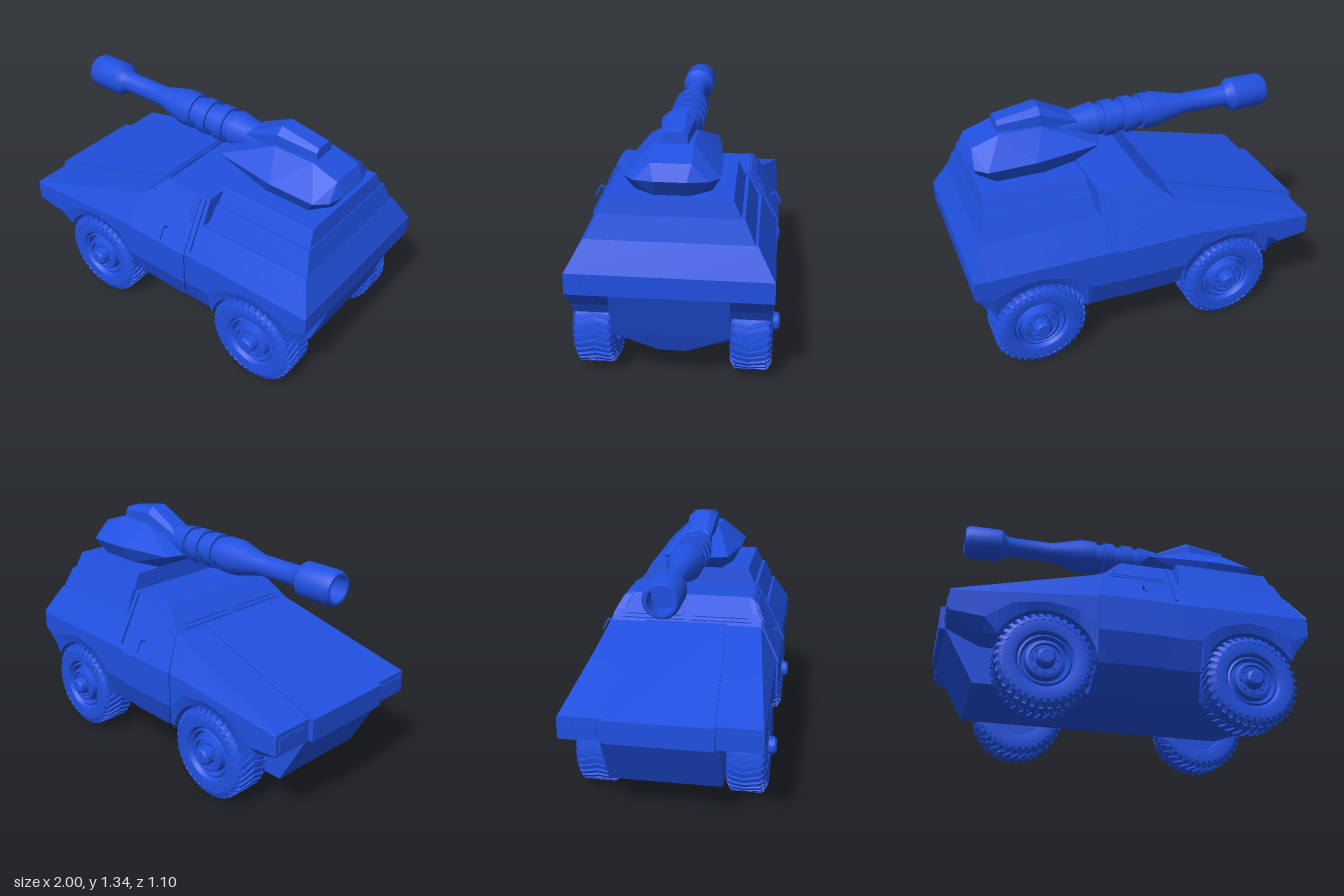
import * as THREE from 'three';
import { mergeGeometries, toCreasedNormals } from 'three/addons/utils/BufferGeometryUtils.js';
import { ConvexGeometry } from 'three/addons/geometries/ConvexGeometry.js';

const flat = new THREE.MeshStandardMaterial({ color: 0x2050e0, flatShading: true });
const smooth = new THREE.MeshStandardMaterial({ color: 0x2050e0 });

// Linear lookup in a list of [x, value] pairs
function lookup(table, x) {
  if (x <= table[0][0]) return table[0][1];
  for (let i = 1; i < table.length; i++) {
    const [x0, v0] = table[i - 1], [x1, v1] = table[i];
    if (x <= x1) return v0 + (v1 - v0) * (x - x0) / (x1 - x0);
  }
  return table[table.length - 1][1];
}

const AXLES = [-0.47, 0.655], AXLE_Y = 0.26;
const TOP = [[-0.97, 0.59], [-0.17, 0.83], [-0.02, 0.955], [0.265, 0.955], [0.27, 0.82], [0.925, 0.82], [1, 0.665]];
const TOP_WIDTH = [[-0.97, 0.512], [-0.17, 0.425], [-0.02, 0.36], [0.265, 0.36], [0.27, 0.43], [0.925, 0.425], [1, 0.515]];
const BELT = [[-0.97, 0.58], [-0.17, 0.65], [1, 0.655]];
const LIP = [[-0.97, 0.47], [-0.79, 0.45], [-0.65, 0.55], [-0.47, 0.578], [-0.3, 0.55], [-0.2, 0.45],
  [0.36, 0.45], [0.48, 0.55], [0.655, 0.59], [0.8, 0.565], [0.92, 0.52], [1, 0.555]];
const SIDE = [[0.29, 0.46], [0.45, 0.52], [0.65, 0.52], [0.955, 0.36]]; // half width by height

// Hull shell: cross-sections along x, with the lower edge following the wheel arches
function bodyGeometry() {
  const low = [[-0.97, 0.465, 0.512], [-0.79, 0.38, 0.45]];
  const arch = (cx, from, to) => {
    for (let i = 0; i <= 14; i++) {
      const a = THREE.MathUtils.degToRad(from + (to - from) * i / 14);
      low.push([cx + 0.275 * Math.cos(a), AXLE_Y + 0.275 * Math.sin(a), 0.5]);
    }
  };
  arch(AXLES[0], 155, 10);
  low.push([-0.19, 0.29, 0.46], [0.37, 0.29, 0.46]);
  arch(AXLES[1], 170, 30);
  low.push([0.93, 0.46, 0.5], [1, 0.55, 0.515]);
  const lowY = low.map(p => [p[0], p[1]]), lowW = low.map(p => [p[0], p[2]]);
  const xs = [...new Set([...low, ...TOP, ...LIP].map(p => p[0]))].sort((a, b) => a - b);
  const rings = xs.map(x => {
    const top = lookup(TOP, x), bottom = lookup(lowY, x);
    const half = [[top, lookup(TOP_WIDTH, x)], [lookup(BELT, x), 0.517],
      [lookup(LIP, x), 0.517], [bottom, lookup(lowW, x)]];
    const loop = [[top, 0], ...half, [bottom, 0], ...half.map(([y, z]) => [y, -z]).reverse()];
    return loop.map(([y, z]) => [x, y, z]);
  });
  const v = [], n = rings[0].length;
  for (let i = 0; i + 1 < rings.length; i++) for (let j = 0; j < n; j++) {
    const k = (j + 1) % n, a = rings[i], b = rings[i + 1];
    v.push(...a[j], ...a[k], ...b[k], ...a[j], ...b[k], ...b[j]);
  }
  const first = rings[0], last = rings[rings.length - 1];
  for (let j = 0; j < n; j++) {
    const k = (j + 1) % n;
    v.push(-0.97, 0.52, 0, ...first[k], ...first[j], 1, 0.6, 0, ...last[j], ...last[k]);
  }
  const g = new THREE.BufferGeometry();
  g.setAttribute('position', new THREE.Float32BufferAttribute(v, 3));
  g.computeVertexNormals();
  return g;
}

// Convex solid; with mirror, each point is repeated at -z
function solid(points, mirror = true) {
  const all = [];
  for (const [x, y, z] of points) {
    all.push(new THREE.Vector3(x, y, z));
    if (mirror && z !== 0) all.push(new THREE.Vector3(x, y, -z));
  }
  return new ConvexGeometry(all);
}

// Panel lying on the body side: rows of [y, x0, x1], standing out by lift
function sidePanel(rows, lift, s) {
  const pts = [];
  for (const [y, x0, x1] of rows) for (const x of [x0, x1]) for (const d of [lift, -0.03])
    pts.push([x, y, s * (lookup(SIDE, y) + d)]);
  return solid(pts, false);
}

// Rectangular tier, tapering from bottom to top: [x0, x1, half width, y]
function tier(...levels) {
  return solid(levels.flatMap(([x0, x1, w, y]) => [[x0, y, w], [x1, y, w]]));
}

function lathe(profile, sides) {
  return toCreasedNormals(new THREE.LatheGeometry(profile.map(p => new THREE.Vector2(...p)), sides), 0.6);
}

function wheelParts() {
  const tyre = lathe([[0, -0.04], [0.13, -0.04], [0.14, -0.1], [0.2, -0.108], [0.232, -0.1], [0.246, -0.075],
    [0.246, 0.075], [0.232, 0.1], [0.2, 0.108], [0.155, 0.1], [0.14, 0.08]], 48).rotateX(Math.PI / 2);
  const hub = lathe([[0.142, 0.08], [0.13, 0.088], [0.118, 0.06], [0.108, 0.06], [0.102, 0.1], [0.085, 0.105],
    [0.08, 0.09], [0.052, 0.09], [0.047, 0.135], [0.034, 0.146], [0, 0.146]], 32).rotateX(Math.PI / 2);
  const lugs = [], bolts = [], count = 36;
  for (let i = 0; i < count; i++) for (const s of [-1, 1]) {
    const a = (i + (s > 0 ? 0 : 0.15)) / count * Math.PI * 2;
    // Chevron bar on the tread and a short block on the shoulder
    lugs.push(new THREE.BoxGeometry(0.02, 0.024, 0.088).rotateY(s * 0.28).translate(0, 0.247, s * 0.04).rotateZ(a));
    lugs.push(new THREE.BoxGeometry(0.02, 0.045, 0.02).rotateX(-s * 0.5).translate(s * 0.002 + 0.014, 0.23, s * 0.09).rotateZ(a));
  }
  for (let i = 0; i < 8; i++)
    bolts.push(new THREE.CylinderGeometry(0.009, 0.009, 0.02, 6).rotateX(Math.PI / 2)
      .translate(0.066, 0, 0.095).rotateZ(i * Math.PI / 4));
  return { tyre: [tyre, smooth], treadLugs: [mergeGeometries(lugs), flat], hub: [hub, smooth], wheelBolts: [mergeGeometries(bolts), flat] };
}

export function createModel() {
  const root = new THREE.Group();
  root.name = 'armouredCar';
  const add = (name, geometry, material = flat, parent = root) => {
    const m = new THREE.Mesh(geometry, material);
    m.name = name;
    parent.add(m);
    return m;
  };

  // Body and underside
  add('body', bodyGeometry());
  add('lowerHull', solid([[-0.97, 0.465, 0.3], [-0.81, 0.175, 0.3], [-0.7, 0.56, 0.3], [0.8, 0.58, 0.3], [1, 0.55, 0.3],
    [0.91, 0.29, 0.3], [0.74, 0.175, 0.3], [0.86, 0.175, 0.07]]));
  add('sill', solid([[-0.19, 0.295, 0.46], [0.37, 0.295, 0.46], [-0.2, 0.175, 0.3], [0.42, 0.175, 0.3]]));

  // Raised bonnet panel running into the nose
  add('bonnetPanel', solid([[-1, 0.47, 0.28], [-1, 0.595, 0.28], [-0.17, 0.84, 0.23], [-0.17, 0.8, 0.23], [-0.9, 0.47, 0.28]]));

  // Rear compartment in tiers
  add('rearCompartment', tier([0.29, 0.925, 0.415, 0.815], [0.305, 0.89, 0.36, 0.94]));
  add('turretDeck', tier([0.305, 0.885, 0.345, 0.935], [0.315, 0.868, 0.302, 1.03]));

  for (const s of [-1, 1]) {
    const side = s > 0 ? 'left' : 'right';
    // Doors, windows, roof-pillar rails and handles
    add(side + 'Door', sidePanel([[0.29, -0.12, 0.17], [0.45, -0.2, 0.21], [0.65, -0.195, 0.21], [0.84, -0.15, 0.21], [0.95, -0.04, 0.21]], 0.008, s));
    add(side + 'WindowFrame', sidePanel([[0.82, -0.125, 0.195], [0.85, -0.125, 0.195], [0.94, -0.035, 0.195]], 0.013, s));
    add(side + 'Window', sidePanel([[0.835, -0.105, 0.18], [0.85, -0.105, 0.18], [0.927, -0.028, 0.18]], 0.018, s));
    add(side + 'PillarRail', sidePanel([[0.68, 0.228, 0.245], [0.95, 0.228, 0.245]], 0.014, s));
    const handle = new THREE.Group();
    handle.name = side + 'DoorHandle';
    handle.position.set(0.055, 0.725, s * 0.525);
    handle.rotation.x = -s * 0.48;
    add('grip', new THREE.BoxGeometry(0.01, 0.075, 0.01), flat, handle);
    add('bracket', new THREE.BoxGeometry(0.012, 0.01, 0.05), flat, handle).position.set(0, 0.035, -s * 0.022);
    root.add(handle);

    // Windscreen panes
    const pane = (x, lift) => 0.83 + (x + 0.17) * 0.833 + lift;
    const glass = (x0, x1, z0, z1, z2, lift) => solid([lift, -0.02].flatMap(d =>
      [[x0, pane(x0, d), s * z0], [x0, pane(x0, d), s * z1], [x1, pane(x1, d), s * z0], [x1, pane(x1, d), s * z2]]), false);
    add(side + 'WindscreenFrame', glass(-0.155, -0.035, 0.015, 0.37, 0.335, 0.007));
    add(side + 'Windscreen', glass(-0.14, -0.05, 0.03, 0.35, 0.322, 0.013));

    // Lamps at both ends
    for (const [end, x, y] of [['front', -0.972, 0.528], ['rear', 0.996, 0.6]]) {
      add(`${end}LampFrame`, new THREE.BoxGeometry(0.008, 0.076, 0.18)).position.set(x, y, s * 0.405);
      for (const [z, w] of [[0.362, 0.07], [0.457, 0.06]])
        add(`${end}Lamp`, new THREE.BoxGeometry(0.012, 0.054, w)).position.set(x, y, s * z);
    }
  }

  // Turret with the hood above the gun
  add('turret', solid([[0.32, 1.03, 0.14], [0.5, 1.03, 0.19], [0.76, 1.03, 0.19], [0.84, 1.03, 0.09],
    [0.15, 1.13, 0.06], [0.19, 1.13, 0.19], [0.55, 1.12, 0.237], [0.81, 1.115, 0.235], [0.87, 1.115, 0.18], [0.9, 1.12, 0.08],
    [0.48, 1.25, 0.1], [0.71, 1.25, 0.1], [0.86, 1.2, 0.1]]));
  add('turretHood', solid([[0.26, 1.22, 0.07], [0.3, 1.255, 0.05], [0.48, 1.31, 0.085], [0.48, 1.345, 0.045], [0.48, 1.22, 0.09],
    [0.71, 1.305, 0.045], [0.71, 1.285, 0.065], [0.715, 1.235, 0.07]]));

  // Gun with a hollow muzzle and ringed sleeve
  const gun = [[0, -0.78], [0.068, -0.78], [0.068, -0.89], [0.082, -0.89], [0.095, -0.865], [0.095, -0.68], [0.062, -0.645],
    [0.058, -0.63], [0.058, -0.37], [0.1, -0.2]];
  for (const [a, b] of [[-0.11, -0.06], [0, 0.05], [0.115, 0.16]]) gun.push([0.1, a], [0.085, a], [0.085, b], [0.1, b]);
  gun.push([0.1, 0.17], [0.078, 0.3], [0.078, 0.5], [0, 0.5]);
  add('gun', lathe(gun, 24).rotateZ(-Math.PI / 2), smooth).position.set(0, 1.18, 0);

  // Four wheels sharing the same parts
  const parts = wheelParts();
  for (const x of AXLES) for (const s of [-1, 1]) {
    const wheel = new THREE.Group();
    wheel.name = (x < 0 ? 'front' : 'rear') + (s > 0 ? 'Left' : 'Right') + 'Wheel';
    for (const [name, [geometry, material]] of Object.entries(parts)) add(name, geometry, material, wheel);
    wheel.position.set(x, AXLE_Y, s * 0.405);
    if (s < 0) wheel.rotation.y = Math.PI;
    root.add(wheel);
    const axle = add('axle', new THREE.CylinderGeometry(0.04, 0.04, 0.12, 12), flat);
    axle.rotation.x = Math.PI / 2;
    axle.position.set(x, AXLE_Y, s * 0.31);
  }
  return root;
}
